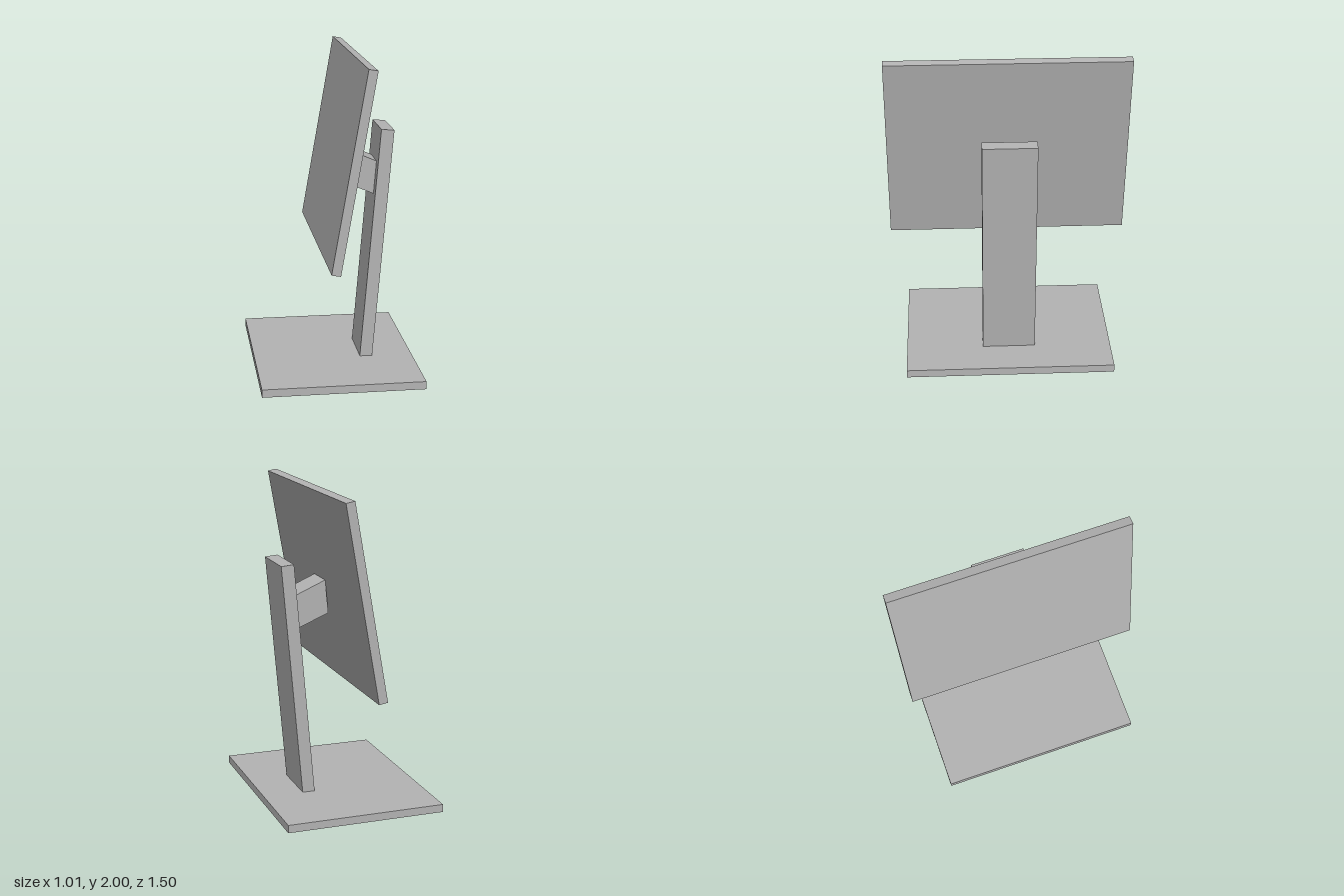
import * as THREE from 'three';

// Extrudes a side profile (x, y corners) symmetrically along z
function slab(name, corners, width, material) {
  const shape = new THREE.Shape(corners.map(([x, y]) => new THREE.Vector2(x, y)));
  const geometry = new THREE.ExtrudeGeometry(shape, { depth: width, bevelEnabled: false });
  geometry.translate(0, 0, -width / 2);
  const mesh = new THREE.Mesh(geometry, material);
  mesh.name = name;
  return mesh;
}

export function createModel() {
  const model = new THREE.Group();
  model.name = 'monitor';
  const grey = new THREE.MeshStandardMaterial({ color: 0xb4b4b4 });
  grey.name = 'light grey';

  model.add(
    // flat foot plate
    slab('base', [[-0.507, 0], [0.507, 0], [0.507, 0.05], [-0.507, 0.05]], 1.325, grey),
    // leaning upright
    slab('stand', [[0.17, 0.05], [0.25, 0.05], [0.38, 1.528], [0.298, 1.535]], 0.338, grey),
    // sloping bracket between upright and screen
    slab('arm', [[0.053, 1.198], [0.263, 1.11], [0.281, 1.32], [0.073, 1.41]], 0.204, grey),
    // tilted display panel
    slab('screen', [[-0.094, 0.783], [-0.038, 0.773], [0.176, 1.99], [0.12, 2]], 1.5, grey)
  );
  return model;
}
